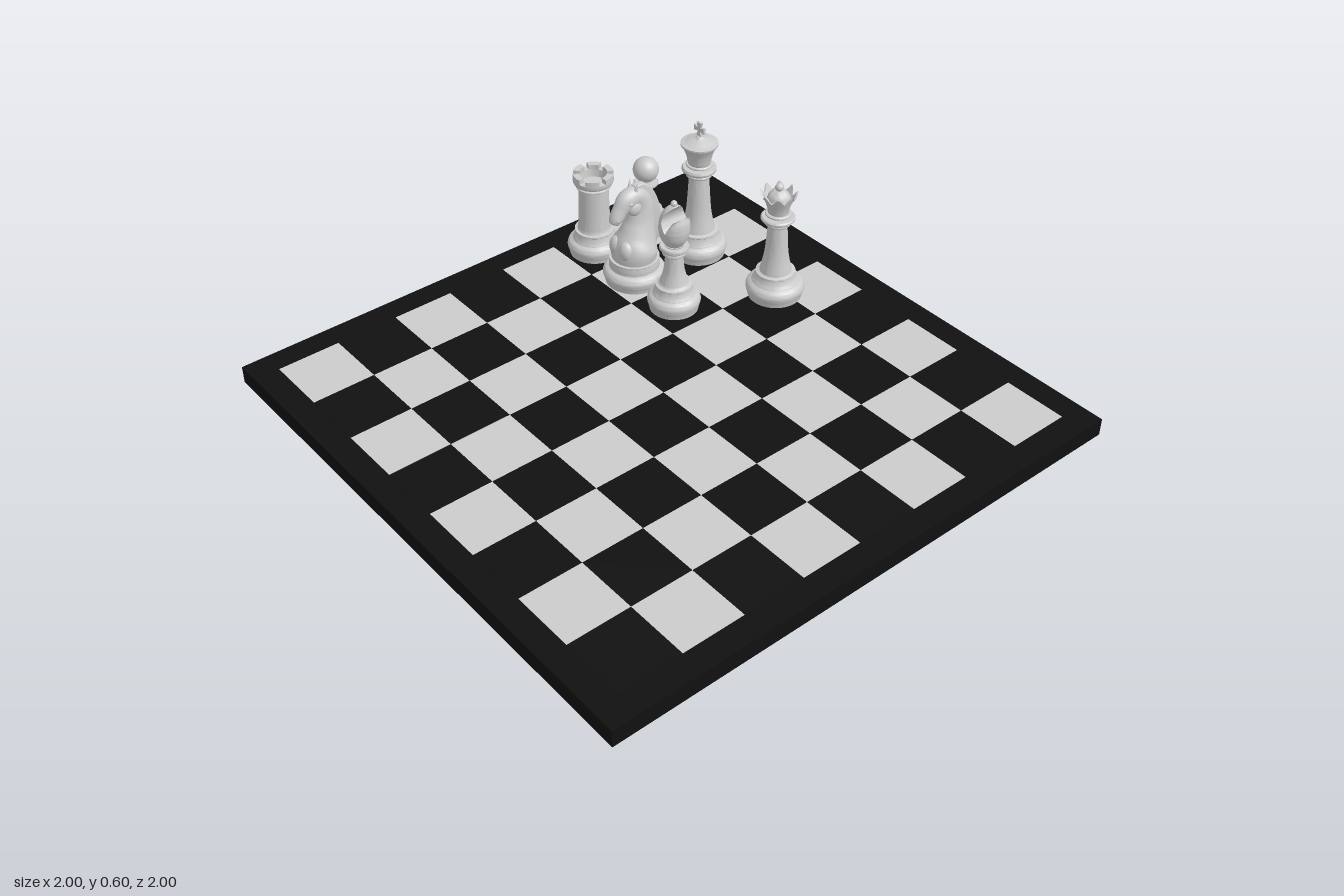
import * as THREE from 'three';
import { toCreasedNormals } from 'three/addons/utils/BufferGeometryUtils.js';

const grey = new THREE.MeshStandardMaterial({ color: 0xcccccc, side: THREE.DoubleSide });
const black = new THREE.MeshStandardMaterial({ color: 0x101010 });
const TOP = 0.065; // playing surface height

function add(parent, name, geometry, material = grey, x = 0, y = 0, z = 0) {
  const mesh = new THREE.Mesh(geometry, material);
  mesh.name = name;
  mesh.position.set(x, y, z);
  parent.add(mesh);
  return mesh;
}

// Turned shape from [radius, height] pairs; an optional rule moves each vertex
function turned(profile, rule, segments = 48) {
  const g = new THREE.LatheGeometry(profile.map(([r, y]) => new THREE.Vector2(r, y)), segments);
  if (rule) {
    const p = g.attributes.position, v = new THREE.Vector3();
    for (let i = 0; i < p.count; i++) {
      rule(v.fromBufferAttribute(p, i));
      p.setXYZ(i, v.x, v.y, v.z);
    }
  }
  return toCreasedNormals(g, 0.7);
}

const smooth = (pts, n) => new THREE.SplineCurve(pts.map(([r, y]) => new THREE.Vector2(r, y)))
  .getPoints(n).map((p) => [Math.max(p.x, 0), p.y]);

// Moulded foot shared by all pieces: rounded bulge, cove and a thin ring
function base(R, height, neck) {
  const y = (t) => TOP + height * t;
  return [[0, TOP], [R * 0.92, TOP], [R * 0.94, y(0.12)],
    ...smooth([[R * 0.95, y(0.16)], [R, y(0.36)], [R * 0.93, y(0.54)], [R * 0.8, y(0.62)]], 10),
    ...smooth([[R * 0.79, y(0.65)], [neck + (R - neck) * 0.3, y(0.78)], [neck + 0.008, y(0.92)]], 6),
    [neck + 0.01, y(0.94)], [neck + 0.01, y(0.99)], [neck, y(1)]];
}

// Rounded collar around a stem
const collar = (y, r, inner, h = 0.016) => [[inner, y - h / 2], [r * 0.93, y - h / 2],
  [r, y - h / 5], [r, y + h / 5], [r * 0.93, y + h / 2], [inner, y + h / 2]];

function piece(parent, name, x, z) {
  const g = new THREE.Group();
  g.name = name;
  g.position.set(x, 0, z);
  parent.add(g);
  return g;
}

function pawn(parent) {
  const g = piece(parent, 'pawn', -0.8, -0.575);
  add(g, 'pawnBody', turned([...base(0.09, 0.085, 0.05),
    ...smooth([[0.048, 0.152], [0.031, 0.2], [0.024, 0.25]], 8),
    ...collar(0.26, 0.046, 0.024), [0.022, 0.285], [0, 0.29]]));
  add(g, 'pawnHead', new THREE.SphereGeometry(0.048, 32, 20), grey, 0, 0.315, 0);
}

function rook(parent) {
  const g = piece(parent, 'rook', -0.8, -0.335);
  add(g, 'rookBody', turned([...base(0.1, 0.1, 0.062),
    ...smooth([[0.06, 0.168], [0.056, 0.24], [0.054, 0.335]], 8),
    ...collar(0.343, 0.062, 0.056, 0.012), [0.07, 0.358], [0.073, 0.364], [0.073, 0.378],
    [0.05, 0.378], [0.046, 0.35], [0, 0.347]]));
  // Battlements
  const count = 6, step = Math.PI * 2 / count, arc = step * 0.68;
  for (let i = 0; i < count; i++) {
    const s = new THREE.Shape();
    const a = i * step;
    s.absarc(0, 0, 0.073, a, a + arc, false);
    s.absarc(0, 0, 0.05, a + arc, a, true);
    const geo = new THREE.ExtrudeGeometry(s, { depth: 0.021, bevelEnabled: false, curveSegments: 8 });
    add(g, 'rookBattlement', geo.rotateX(-Math.PI / 2), grey, 0, 0.375, 0);
  }
}

function bishop(parent) {
  const g = piece(parent, 'bishop', -0.35, -0.335);
  add(g, 'bishopBody', turned([...base(0.094, 0.1, 0.055),
    ...smooth([[0.052, 0.167], [0.037, 0.22], [0.031, 0.285]], 8),
    ...collar(0.293, 0.042, 0.031, 0.012), ...collar(0.315, 0.052, 0.034, 0.018),
    [0.036, 0.328], [0, 0.332]]));
  // Mitre: bowl, tall half and short lip either side of a notch
  add(g, 'mitreBowl', turned(smooth([[0.032, 0.328], [0.049, 0.358], [0.055, 0.39]], 8)));
  const tall = smooth([[0.055, 0.39], [0.051, 0.427], [0.036, 0.459], [0.014, 0.478], [0, 0.482]], 20);
  add(g, 'mitreTallHalf', turned([[0, 0.39], ...tall], (v) => {
    v.x = Math.min(v.x, 0.015 - 0.024 * Math.sin(Math.PI * (v.y - 0.39) / 0.092));
  }, 64));
  const lip = smooth([[0.055, 0.39], [0.053, 0.42], [0.043, 0.446]], 10);
  add(g, 'mitreLip', turned([[0, 0.39], ...lip], (v) => {
    v.x = Math.max(v.x, 0.015 + 0.5 * (v.y - 0.39));
  }, 64));
  add(g, 'mitreBead', new THREE.SphereGeometry(0.012, 20, 14), grey, -0.002, 0.486, 0);
}

function queen(parent) {
  const g = piece(parent, 'queen', -0.185, -0.66);
  add(g, 'queenBody', turned([...base(0.104, 0.1, 0.06),
    ...smooth([[0.057, 0.167], [0.042, 0.24], [0.034, 0.355]], 10),
    ...collar(0.362, 0.045, 0.034, 0.012), ...collar(0.382, 0.06, 0.036, 0.016),
    ...collar(0.4, 0.046, 0.036, 0.01)]));
  // Flared coronet with a scalloped rim
  const cup = [[0.036, 0.403], [0.038, 0.42], [0.044, 0.44], [0.054, 0.462], [0.058, 0.463],
    [0.052, 0.462], [0.042, 0.45], [0, 0.45]];
  add(g, 'coronet', turned(cup, (v) => {
    if (v.y < 0.461) return;
    const k = 0.5 + 0.5 * Math.cos(8 * Math.atan2(v.x, v.z));
    v.y += 0.025 * k;
    v.x *= 1 + 0.14 * k;
    v.z *= 1 + 0.14 * k;
  }, 96));
  add(g, 'coronetDome', turned(smooth([[0.044, 0.448], [0.035, 0.475], [0.014, 0.492], [0, 0.494]], 12)));
  add(g, 'coronetBead', new THREE.SphereGeometry(0.015, 20, 14), grey, 0, 0.502, 0);
}

function king(parent) {
  const g = piece(parent, 'king', -0.555, -0.62);
  add(g, 'kingBody', turned([...base(0.105, 0.105, 0.064),
    ...smooth([[0.06, 0.172], [0.045, 0.25], [0.036, 0.39]], 10),
    ...collar(0.398, 0.048, 0.036, 0.012), ...collar(0.42, 0.062, 0.038, 0.018),
    ...collar(0.438, 0.048, 0.04, 0.01),
    ...smooth([[0.041, 0.445], [0.048, 0.48], [0.063, 0.515]], 8),
    [0.067, 0.517], [0.067, 0.524], [0.06, 0.527],
    ...smooth([[0.056, 0.527], [0.035, 0.536], [0.014, 0.543], [0.009, 0.55], [0, 0.551]], 10)]));
  // Cross with four flared arms
  const s = new THREE.Shape();
  for (let i = 0; i < 4; i++) {
    const c = Math.cos(i * Math.PI / 2), n = Math.sin(i * Math.PI / 2);
    for (const [x, y] of [[0.006, -0.006], [0.026, -0.011], [0.026, 0.011]]) {
      s[i || x > 0.006 ? 'lineTo' : 'moveTo'](x * c - y * n, x * n + y * c);
    }
  }
  add(g, 'cross', new THREE.ExtrudeGeometry(s, { depth: 0.006, bevelThickness: 0.002, bevelSize: 0.001, bevelSegments: 1 }),
    grey, 0, 0.577, -0.003);
}

// Elliptical sections [z, y, halfWidth, halfDepth] swept along a curve in the yz plane
function sweep(sections, rows = 48, sides = 32) {
  const path = new THREE.CatmullRomCurve3(sections.map(([z, y]) => new THREE.Vector3(0, y, z)));
  const size = new THREE.CatmullRomCurve3(sections.map(([, , w, d]) => new THREE.Vector3(w, d, 0)));
  const pos = [], index = [];
  for (let i = 0; i <= rows; i++) {
    const c = path.getPoint(i / rows), t = path.getTangent(i / rows), r = size.getPoint(i / rows);
    for (let j = 0; j < sides; j++) {
      const a = j / sides * Math.PI * 2, d = r.y * Math.sin(a);
      pos.push(r.x * Math.cos(a), c.y - t.z * d, c.z + t.y * d);
      if (i === rows) continue;
      const p = i * sides + j, q = i * sides + (j + 1) % sides;
      index.push(p, p + sides, q, q, p + sides, q + sides);
    }
  }
  const g = new THREE.BufferGeometry();
  g.setAttribute('position', new THREE.Float32BufferAttribute(pos, 3));
  g.setIndex(index);
  g.computeVertexNormals();
  return g;
}

function knight(parent) {
  const g = piece(parent, 'knight', -0.57, -0.335);
  add(g, 'knightBase', turned([...base(0.113, 0.1, 0.08), [0, 0.167]]));
  add(g, 'knightNeckAndHead', sweep([[0, 0.155, 0.08, 0.08], [0, 0.2, 0.087, 0.08], [-0.014, 0.25, 0.064, 0.07],
    [-0.028, 0.31, 0.045, 0.055], [-0.03, 0.365, 0.037, 0.046], [-0.01, 0.408, 0.035, 0.037],
    [0.028, 0.405, 0.034, 0.038], [0.06, 0.375, 0.027, 0.029], [0.08, 0.348, 0.025, 0.024],
    [0.09, 0.333, 0.017, 0.017], [0.093, 0.328, 0.001, 0.001]]));
  // Crescent mane down the back of the neck
  const s = new THREE.Shape();
  s.moveTo(-0.005, 0.448);
  s.bezierCurveTo(-0.07, 0.48, -0.15, 0.29, -0.085, 0.185);
  s.bezierCurveTo(-0.04, 0.24, -0.03, 0.33, -0.005, 0.448);
  const mane = new THREE.ExtrudeGeometry(s, { depth: 0.016, bevelThickness: 0.007, bevelSize: 0.004, bevelSegments: 3, curveSegments: 20 });
  add(g, 'mane', toCreasedNormals(mane, 0.7), grey, 0.008, 0, 0).rotation.y = -Math.PI / 2;
  for (const side of [-1, 1]) {
    const ear = add(g, 'ear', new THREE.ConeGeometry(0.011, 0.045, 16), grey, side * 0.018, 0.448, 0.002);
    ear.rotation.set(-0.15, 0, -side * 0.15);
    const ball = (name, x, y, z, w, h, d) =>
      add(g, name, new THREE.SphereGeometry(1, 20, 14), grey, side * x, y, z).scale.set(w, h, d);
    ball('eye', 0.03, 0.402, 0.034, 0.006, 0.008, 0.009);
    ball('cheek', 0.02, 0.375, 0.012, 0.019, 0.03, 0.028);
    ball('nostril', 0.017, 0.35, 0.084, 0.008, 0.009, 0.01);
    ball('chestMuscle', 0.026, 0.215, 0.055, 0.03, 0.04, 0.028);
  }
}

export function createModel() {
  const model = new THREE.Group();
  model.name = 'chessBoardWithPieces';

  // Board slab with 64 flat tiles
  add(model, 'boardSlab', new THREE.BoxGeometry(2, 0.064, 2), black, 0, 0.032, 0);
  const cell = 0.2275;
  const tile = new THREE.BoxGeometry(cell, 0.004, cell);
  for (let i = 0; i < 8; i++) {
    for (let j = 0; j < 8; j++) {
      const light = (i + j) % 2 === 1;
      add(model, light ? 'lightSquare' : 'darkSquare', tile, light ? grey : black,
        (i - 3.5) * cell, TOP - 0.002, (j - 3.5) * cell);
    }
  }

  [pawn, rook, bishop, queen, king, knight].forEach((make) => make(model));
  return model;
}
